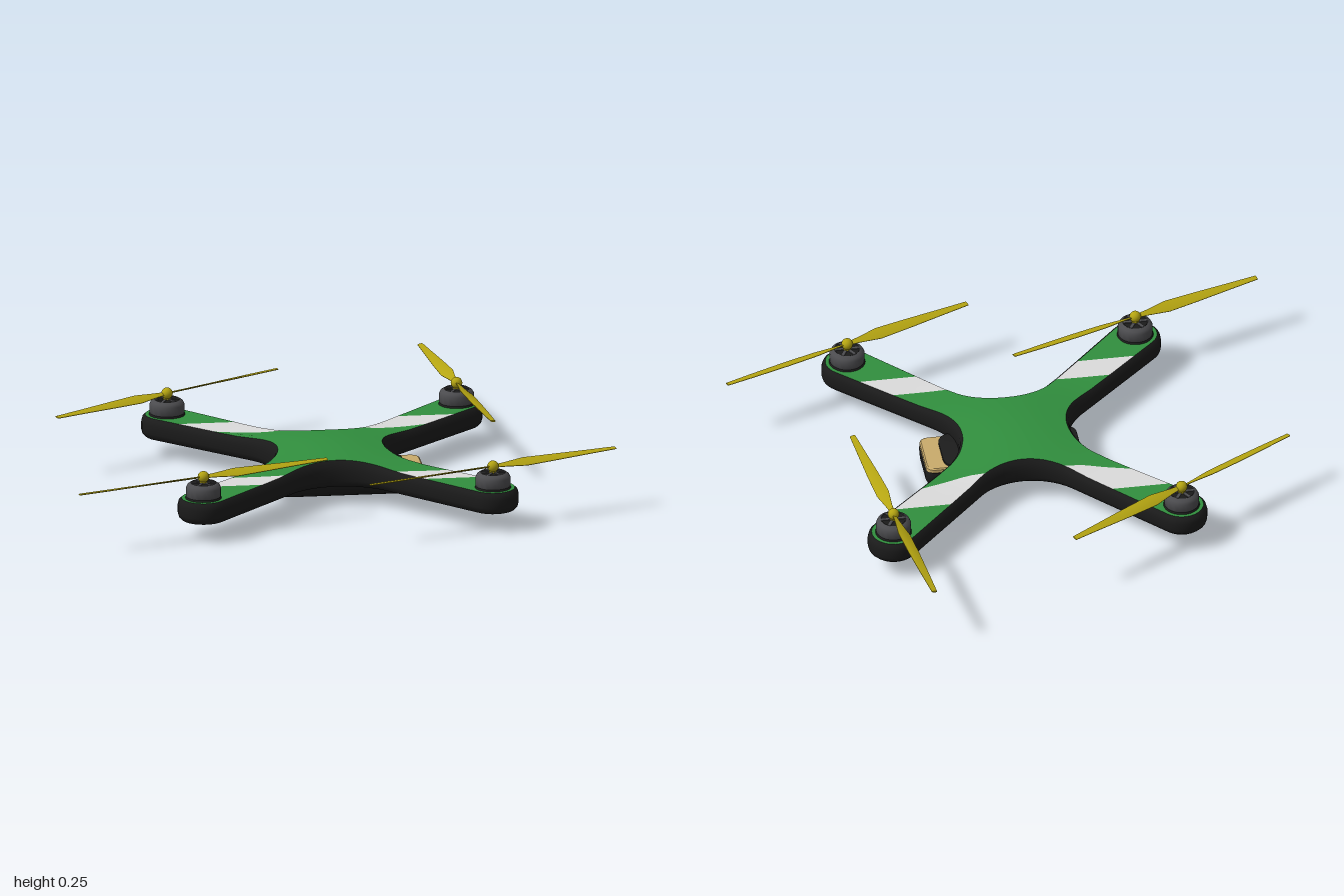
import * as THREE from 'three';
import { toCreasedNormals } from 'three/addons/utils/BufferGeometryUtils.js';

const mat = (name, color) => Object.assign(new THREE.MeshStandardMaterial({ color }), { name });
const V = (x, y, z) => new THREE.Vector3(x, y, z);
const CENTRE_Z = 0.147, ARM = 0.526;

// Joins rings of points, bottom to top, into a closed skin.
function loft(rings, capTop = true, crease = 0.6) {
  const n = rings[0].length, pts = rings.flat(), idx = [];
  for (let r = 0; r < rings.length - 1; r++) {
    for (let i = 0; i < n; i++) {
      const a = r * n + i, b = r * n + (i + 1) % n;
      idx.push(a, a + n, b, b, a + n, b + n);
    }
  }
  const cap = (ring, start, up) => {
    const c = pts.push(ring.reduce((s, p) => s.add(p), V(0, 0, 0)).divideScalar(n)) - 1;
    for (let i = 0; i < n; i++) {
      const p = start + i, q = start + (i + 1) % n;
      idx.push(c, up ? q : p, up ? p : q);
    }
  };
  cap(rings[0], 0, false);
  if (capTop) cap(rings.at(-1), (rings.length - 1) * n, true);
  const g = new THREE.BufferGeometry().setFromPoints(pts);
  g.setIndex(idx);
  return toCreasedNormals(g, crease);
}

// X-shaped plan: four round arm ends joined by hollow curves; returns [x, z] pairs.
function outline(inset) {
  const pts = [], D = Math.PI / 180;
  const reach = ARM * Math.SQRT2, hollow = 0.427;
  for (let k = 0; k < 4; k++) {
    const phi = (45 + 90 * k) * D, next = phi + 45 * D;
    const cap = [], arc = [];
    for (let i = 0; i <= 14; i++) {
      const a = phi + (-95 + 190 * i / 14) * D, R = 0.093 - inset;
      cap.push([reach * Math.cos(phi) + R * Math.cos(a), reach * Math.sin(phi) + R * Math.sin(a)]);
      const b = phi - (90 + 90 * i / 14) * D, r = 0.222 + inset;
      arc.push([hollow * Math.cos(next) + r * Math.cos(b), hollow * Math.sin(next) + r * Math.sin(b)]);
    }
    const between = (p, q) => [1, 2, 3, 4, 5].map(i => [0, 1].map(c => p[c] + (q[c] - p[c]) * i / 6));
    const endCap = cap.at(-1), endArc = arc.at(-1), t = phi + 90 * D;
    const nextCap = [
      reach * Math.cos(t) + (0.093 - inset) * Math.cos(t - 95 * D),
      reach * Math.sin(t) + (0.093 - inset) * Math.sin(t - 95 * D)];
    pts.push(...cap, ...between(endCap, arc[0]), ...arc, ...between(endArc, nextCap));
  }
  return pts;
}

// Rise of the shell towards the middle.
const dome = (x, z) => 0.018 * (1 + Math.cos(Math.PI * Math.min(1, Math.hypot(x, z) / 0.42)));

// Rounded rectangle ring at height y.
function rectRing(x0, x1, z0, z1, y, r) {
  const ring = [];
  [[x1, z1, -1, -1], [x0, z1, 1, -1], [x0, z0, 1, 1], [x1, z0, -1, 1]].forEach(([x, z, sx, sz], k) => {
    for (let i = 0; i <= 5; i++) {
      const a = (k + i / 5) * Math.PI / 2;
      ring.push(V(x + sx * r + r * Math.cos(a), y, z + sz * r + r * Math.sin(a)));
    }
  });
  return ring;
}

// Stripe edges: each is zero along one border of a band.
const edges = [
  (x, z) => z - 0.295,
  (x, z) => z - 0.395,
  (x, z) => -z - 0.395,
  (x, z) => -z - 0.285 + Math.min(0.045, 0.26 * (0.385 - Math.abs(x)))];
const inStripe = (x, z) => {
  const [a, b, c, d] = edges.map(e => e(x, z) > 0);
  return (a && !b) || (d && !c);
};

function clip(poly, g) {
  const out = [];
  poly.forEach((p, i) => {
    const q = poly[(i + 1) % poly.length], gp = g(...p), gq = g(...q);
    if (gp >= 0) out.push(p);
    if ((gp > 0 && gq < 0) || (gp < 0 && gq > 0)) {
      const t = gp / (gp - gq);
      out.push([p[0] + (q[0] - p[0]) * t, p[1] + (q[1] - p[1]) * t]);
    }
  });
  return out;
}

// Domed top shell, cut along the stripe edges into two colours.
function shellGeometries() {
  const rim = outline(0.014), rings = 16;
  let polys = [];
  rim.forEach((p, i) => {
    const q = rim[(i + 1) % rim.length];
    for (let r = 0; r < rings; r++) {
      const s = r / rings, t = (r + 1) / rings, at = (v, f) => [v[0] * f, v[1] * f];
      polys.push([at(p, t), at(p, s), at(q, t)]);
      if (r) polys.push([at(q, t), at(p, s), at(q, s)]);
    }
  });
  for (const e of edges) {
    polys = polys.flatMap(p => [clip(p, e), clip(p, (x, z) => -e(x, z))].filter(c => c.length > 2));
  }
  return [false, true].map(striped => {
    const pos = [], nor = [], h = 0.002;
    for (const poly of polys) {
      const cx = poly.reduce((s, p) => s + p[0], 0) / poly.length;
      const cz = poly.reduce((s, p) => s + p[1], 0) / poly.length;
      if (inStripe(cx, cz) !== striped) continue;
      for (let i = 1; i < poly.length - 1; i++) {
        for (const [x, z] of [poly[0], poly[i], poly[i + 1]]) {
          pos.push(x, 0.147 + dome(x, z), z);
          const n = V((dome(x - h, z) - dome(x + h, z)) / (2 * h), 1, (dome(x, z - h) - dome(x, z + h)) / (2 * h));
          nor.push(...n.normalize().toArray());
        }
      }
    }
    const g = new THREE.BufferGeometry();
    g.setAttribute('position', new THREE.Float32BufferAttribute(pos, 3));
    g.setAttribute('normal', new THREE.Float32BufferAttribute(nor, 3));
    return g;
  });
}

// One twisted, tapering blade along +x.
function bladeGeometry(sense) {
  const sections = [[0, 0.014, 0.5], [0.05, 0.024, 0.45], [0.13, 0.05, 0.38],
    [0.25, 0.044, 0.28], [0.38, 0.032, 0.2], [0.498, 0.021, 0.15]];
  const rings = sections.map(([d, w, pitch]) => Array.from({ length: 10 }, (_, i) => {
    const a = i / 10 * Math.PI * 2, p = pitch * sense;
    const thick = 0.003 * Math.cos(a), chord = w / 2 * Math.sin(a);
    return V(thick * Math.cos(p) - chord * Math.sin(p), d, thick * Math.sin(p) + chord * Math.cos(p));
  }));
  return loft(rings, true, 0.9).rotateZ(-Math.PI / 2);
}

export function createModel() {
  const black = mat('black plastic', 0x1b1b1b), green = mat('green shell', 0x318f3e);
  const white = mat('white stripe', 0xdcdcdc), yellow = mat('yellow propeller', 0xb5a512);
  const grey = mat('motor grey', 0x4c4c4f), tan = mat('tan battery', 0xc9ab6b);
  const model = new THREE.Group();
  model.name = 'quadcopter';
  const add = (parent, name, geo, m, x = 0, y = 0, z = 0) => {
    const mesh = new THREE.Mesh(geo, m);
    mesh.name = name;
    mesh.position.set(x, y, z);
    parent.add(mesh);
    return mesh;
  };

  // Frame: inset, height and share of the dome for each level
  const frame = new THREE.Group();
  frame.name = 'frame';
  frame.position.z = CENTRE_Z;
  model.add(frame);
  const levels = [[0.03, 0.065, 0], [0.014, 0.068, 0], [0.004, 0.078, 0], [0, 0.092, 0],
    [0, 0.122, 0.3], [0.004, 0.138, 0.8], [0.014, 0.147, 1]];
  const bodyRings = levels.map(([inset, y, k]) => outline(inset).map(([x, z]) => V(x, y + k * dome(x, z), z)));
  add(frame, 'lowerBody', loft(bodyRings, false, 0.8), black);
  const [plain, stripes] = shellGeometries();
  add(frame, 'topShell', plain, green);
  add(frame, 'stripes', stripes, white);

  // Battery, its tray and the cover above it
  add(frame, 'batteryTray', loft([
    rectRing(-0.185, 0.315, -0.078, 0.078, 0, 0.03), rectRing(-0.2, 0.327, -0.092, 0.092, 0.008, 0.035),
    rectRing(-0.215, 0.334, -0.1, 0.1, 0.025, 0.035), rectRing(-0.242, 0.336, -0.109, 0.109, 0.06, 0.035),
    rectRing(-0.238, 0.332, -0.105, 0.105, 0.075, 0.032)], true, 0.7), black);
  add(frame, 'battery', loft([
    rectRing(-0.205, 0.334, -0.101, 0.101, 0.074, 0.03), rectRing(-0.205, 0.334, -0.101, 0.101, 0.087, 0.03),
    rectRing(-0.2, 0.329, -0.096, 0.096, 0.091, 0.027)]), tan);
  add(frame, 'batteryCover', loft([
    rectRing(-0.2, 0.272, -0.106, 0.106, 0.075, 0.05), rectRing(-0.2, 0.268, -0.102, 0.102, 0.097, 0.05),
    rectRing(-0.19, 0.255, -0.09, 0.09, 0.104, 0.05)]), black);

  // Motors and propellers: side, end, blade direction and pitch sense
  const can = new THREE.LatheGeometry([[0.06, 0.15], [0.063, 0.155], [0.063, 0.186], [0.058, 0.196],
    [0.046, 0.204], [0.044, 0.2], [0, 0.2]].map(p => new THREE.Vector2(...p)), 32);
  const canGeo = toCreasedNormals(can, 0.6);
  const corners = [[-1, -1, 0.43, -0.25, 1], [1, -1, 0.07, 0.49, 1],
    [-1, 1, 0.468, -0.165, -1], [1, 1, 0.466, -0.175, -1]];
  for (const [sx, sz, dx, dz, sense] of corners) {
    const unit = new THREE.Group();
    unit.name = 'motorUnit';
    unit.position.set(sx * ARM, 0, sz * ARM);
    frame.add(unit);
    add(unit, 'motorBase', new THREE.CylinderGeometry(0.06, 0.067, 0.012, 32), black, 0, 0.151, 0);
    add(unit, 'motorCan', canGeo, grey);
    add(unit, 'motorTop', new THREE.CylinderGeometry(0.044, 0.044, 0.003, 24), black, 0, 0.201, 0);
    for (let i = 0; i < 3; i++) {
      add(unit, 'motorSpokes', new THREE.BoxGeometry(0.09, 0.004, 0.01), grey, 0, 0.203, 0).rotation.y = i * Math.PI / 3;
    }
    const propeller = new THREE.Group();
    propeller.name = 'propeller';
    propeller.position.y = 0.225;
    propeller.rotation.y = Math.atan2(-dz, dx);
    unit.add(propeller);
    add(propeller, 'shaft', new THREE.CylinderGeometry(0.012, 0.014, 0.024, 16), yellow, 0, -0.012, 0);
    add(propeller, 'hub', new THREE.SphereGeometry(0.021, 20, 12), yellow);
    const blade = bladeGeometry(sense);
    for (const turn of [0, Math.PI]) add(propeller, 'blade', blade, yellow).rotation.y = turn;
  }
  return model;
}
